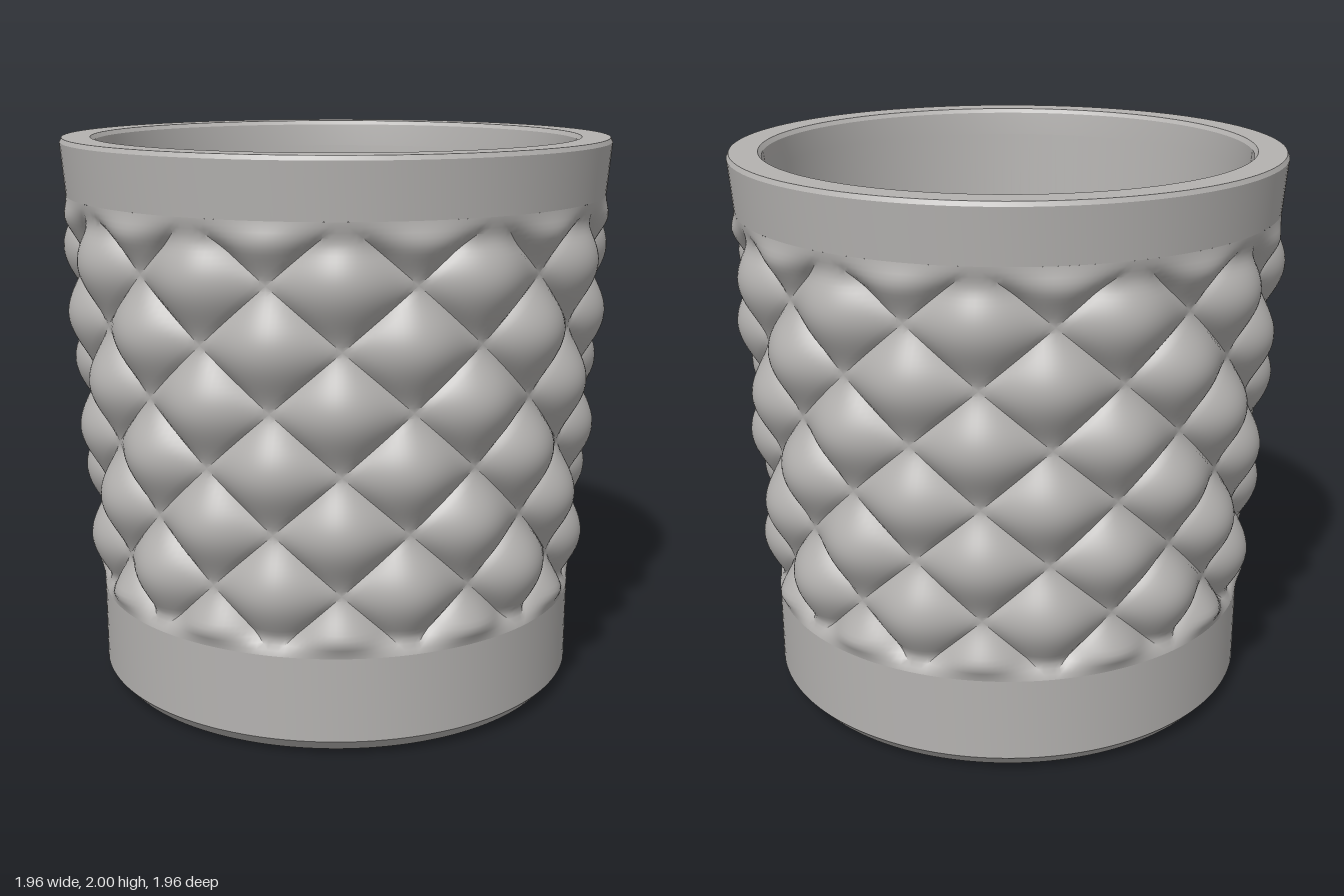
import * as THREE from 'three';
import { toCreasedNormals } from 'three/addons/utils/BufferGeometryUtils.js';

const SEG = 288;        // steps around
const CELL = 24;        // steps per diamond
const ROWS = 84;        // steps up the quilted band
const Y0 = 0.357, DY = 0.0172;
const BASE_R = 0.88, RIM_R = 0.965;

export function createModel() {
  const group = new THREE.Group();
  const stone = new THREE.MeshStandardMaterial({ color: 0xb4b2b0 });
  stone.name = 'warm grey';

  const add = (name, geometry, parent = group) => {
    const mesh = new THREE.Mesh(geometry, stone);
    mesh.name = name;
    parent.add(mesh);
    return mesh;
  };
  const lathe = (points) => toCreasedNormals(
    new THREE.LatheGeometry(points.map(([r, y]) => new THREE.Vector2(r, y)), 144), 0.35);

  // Plain lower wall with a chamfered foot
  add('base', lathe([[0, 0.02], [0.81, 0.02], [0.84, 0.015], [BASE_R, 0.06], [BASE_R, Y0]]));

  // Diamond-quilted band
  add('quiltedBand', quiltedBand());

  // Flared rim, inner wall and rounded floor
  add('rimAndInterior', lathe([
    [RIM_R, Y0 + ROWS * DY], [0.98, 1.985], [0.972, 2], [0.872, 2], [0.86, 1.985],
    [0.852, 1.9], [0.80, 0.5], [0.79, 0.39], [0.765, 0.29], [0.71, 0.21],
    [0.63, 0.17], [0, 0.17],
  ]));

  // Underside pads, leaving a starburst of radial grooves between them
  const underside = new THREE.Group();
  underside.name = 'underside';
  group.add(underside);
  const pad = padGeometry();
  for (let i = 0; i < 24; i++) {
    add('footPad', pad, underside).rotation.y = (i + 0.5) * Math.PI / 12;
  }
  return group;
}

// Pillow surface: sharp grooves on both diagonals, fading into the plain walls
function quiltRadius(i, j) {
  const y = Y0 + j * DY;
  const su = Math.sin(Math.PI * (i + j) / CELL), sv = Math.sin(Math.PI * (i - j) / CELL);
  const puff = Math.pow(Math.abs(su * sv), 0.8);
  let r = 0.875 + 0.061 * (y - 0.98) + 0.077 * puff;
  r = THREE.MathUtils.lerp(BASE_R, r, THREE.MathUtils.smoothstep(y, Y0, 0.43));
  return THREE.MathUtils.lerp(r, RIM_R, THREE.MathUtils.smoothstep(y, 1.69, Y0 + ROWS * DY));
}

function quiltedBand() {
  const positions = [], index = [];
  for (let j = 0; j <= ROWS; j++) {
    for (let i = 0; i < SEG; i++) {
      const a = i / SEG * Math.PI * 2, r = quiltRadius(i, j);
      positions.push(r * Math.sin(a), Y0 + j * DY, r * Math.cos(a));
    }
  }
  for (let j = 0; j < ROWS; j++) {
    for (let i = 0; i < SEG; i++) {
      const n = (i + 1) % SEG;
      const a = j * SEG + i, b = j * SEG + n, c = a + SEG, d = b + SEG;
      // Lay the cell's diagonal along the groove that crosses it
      if ((i + j + 1) % CELL === 0) index.push(a, b, c, b, d, c);
      else index.push(a, b, d, a, d, c);
    }
  }
  const geometry = new THREE.BufferGeometry();
  geometry.setAttribute('position', new THREE.Float32BufferAttribute(positions, 3));
  geometry.setIndex(index);
  return toCreasedNormals(geometry, 0.6);
}

// One wedge with sloped edges, pointing along +x
function padGeometry() {
  const half = Math.PI / 24, inset = 0.015, R = 0.805;
  const shape = new THREE.Shape();
  shape.moveTo(inset / Math.sin(half), 0);
  const edge = half - Math.asin(inset / R);
  for (let k = -3; k <= 3; k++) {
    const a = edge * k / 3;
    shape.lineTo(R * Math.cos(a), R * Math.sin(a));
  }
  shape.closePath();
  const geometry = new THREE.ExtrudeGeometry(shape, {
    depth: 0.004, bevelThickness: 0.01, bevelSize: 0.01, bevelSegments: 1,
  });
  return geometry.rotateX(-Math.PI / 2).translate(0, 0.01, 0);
}
